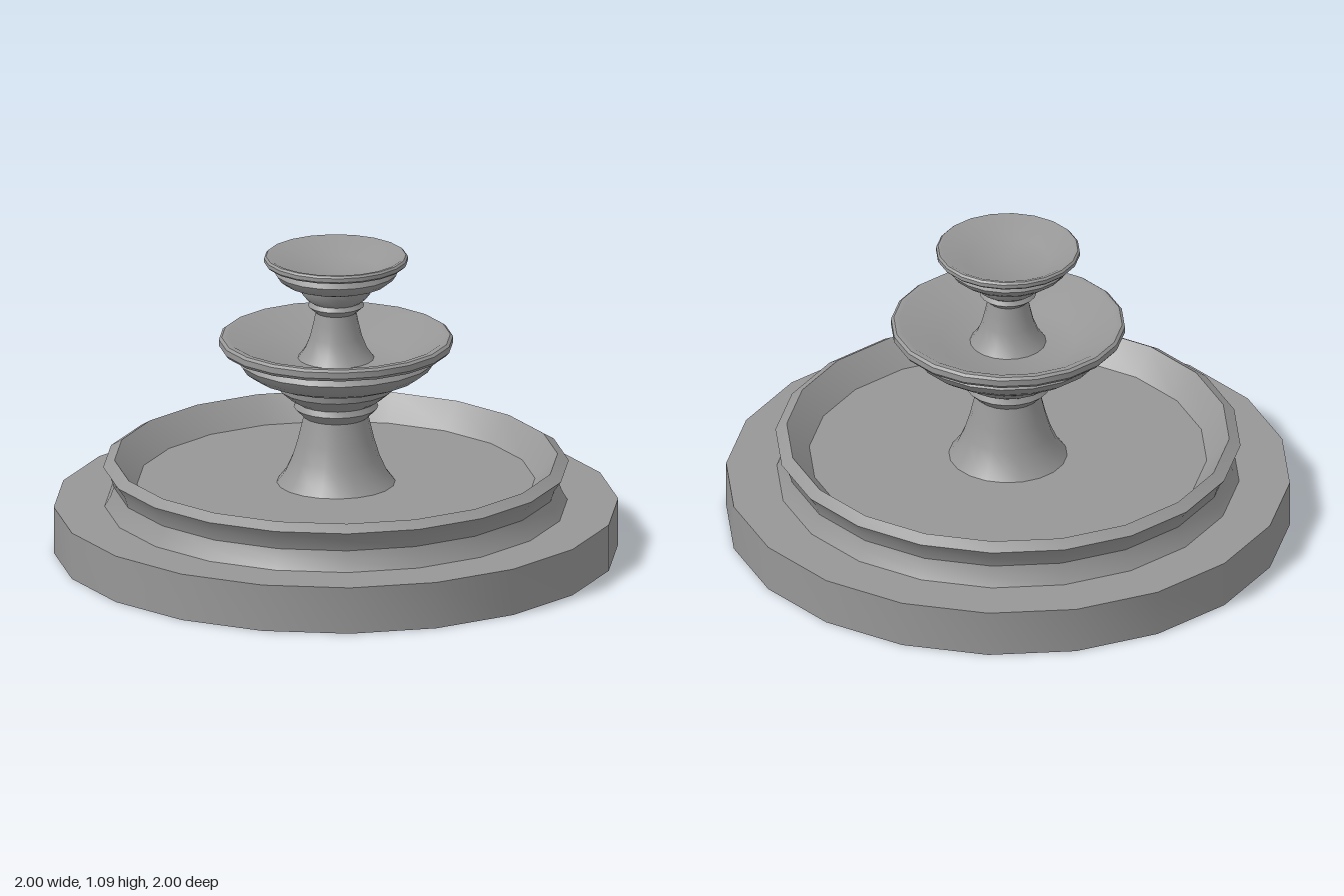
import * as THREE from 'three';
import { toCreasedNormals } from 'three/addons/utils/BufferGeometryUtils.js';

const SIDES = 20;

export function createModel() {
  const fountain = new THREE.Group();
  fountain.name = 'fountain';
  const stone = new THREE.MeshStandardMaterial({ color: 0x979797 });
  stone.name = 'grey stone';

  // Turns a profile of [radius, height] pairs, listed from outside bottom to inside top
  function turned(name, profile) {
    const points = profile.map(([r, y]) => new THREE.Vector2(r, y));
    const geometry = toCreasedNormals(new THREE.LatheGeometry(points, SIDES), 0.62);
    const mesh = new THREE.Mesh(geometry, stone);
    mesh.name = name;
    fountain.add(mesh);
  }

  // Low round plinth
  turned('base', [[0, 0], [1, 0], [1, 0.17], [0, 0.17]]);

  // Wide pool with a waisted wall and a sunken floor
  turned('pool', [
    [0.82, 0.17], [0.80, 0.205], [0.787, 0.24], [0.80, 0.28], [0.825, 0.315],
    [0.785, 0.34], [0.705, 0.25], [0, 0.25],
  ]);

  // Lower stem with a collar under the large bowl
  turned('lowerStem', [
    [0.21, 0.25], [0.18, 0.29], [0.155, 0.345], [0.135, 0.41], [0.115, 0.495],
    [0.15, 0.53], [0.14, 0.55], [0.165, 0.565], [0.205, 0.60], [0.21, 0.63],
  ]);

  // Large bowl: rounded belly, overhanging rim, sloping inside and flat floor
  turned('largeBowl', [
    [0.20, 0.63], [0.25, 0.635], [0.30, 0.655], [0.335, 0.68], [0.355, 0.71],
    [0.33, 0.748], [0.405, 0.748], [0.415, 0.76], [0.415, 0.782], [0.405, 0.79],
    [0.385, 0.79], [0.24, 0.71], [0, 0.71],
  ]);

  // Upper stem with its own collar
  turned('upperStem', [
    [0.135, 0.71], [0.11, 0.745], [0.092, 0.79], [0.08, 0.84], [0.072, 0.88],
    [0.10, 0.905], [0.09, 0.92], [0.105, 0.93], [0.125, 0.955], [0.13, 0.98],
  ]);

  // Small bowl at the top
  turned('smallBowl', [
    [0.125, 0.978], [0.155, 0.982], [0.185, 0.993], [0.207, 1.01], [0.22, 1.03],
    [0.205, 1.06], [0.248, 1.06], [0.255, 1.067], [0.255, 1.081], [0.248, 1.088],
    [0.238, 1.088], [0.147, 1.04], [0, 1.04],
  ]);

  return fountain;
}
